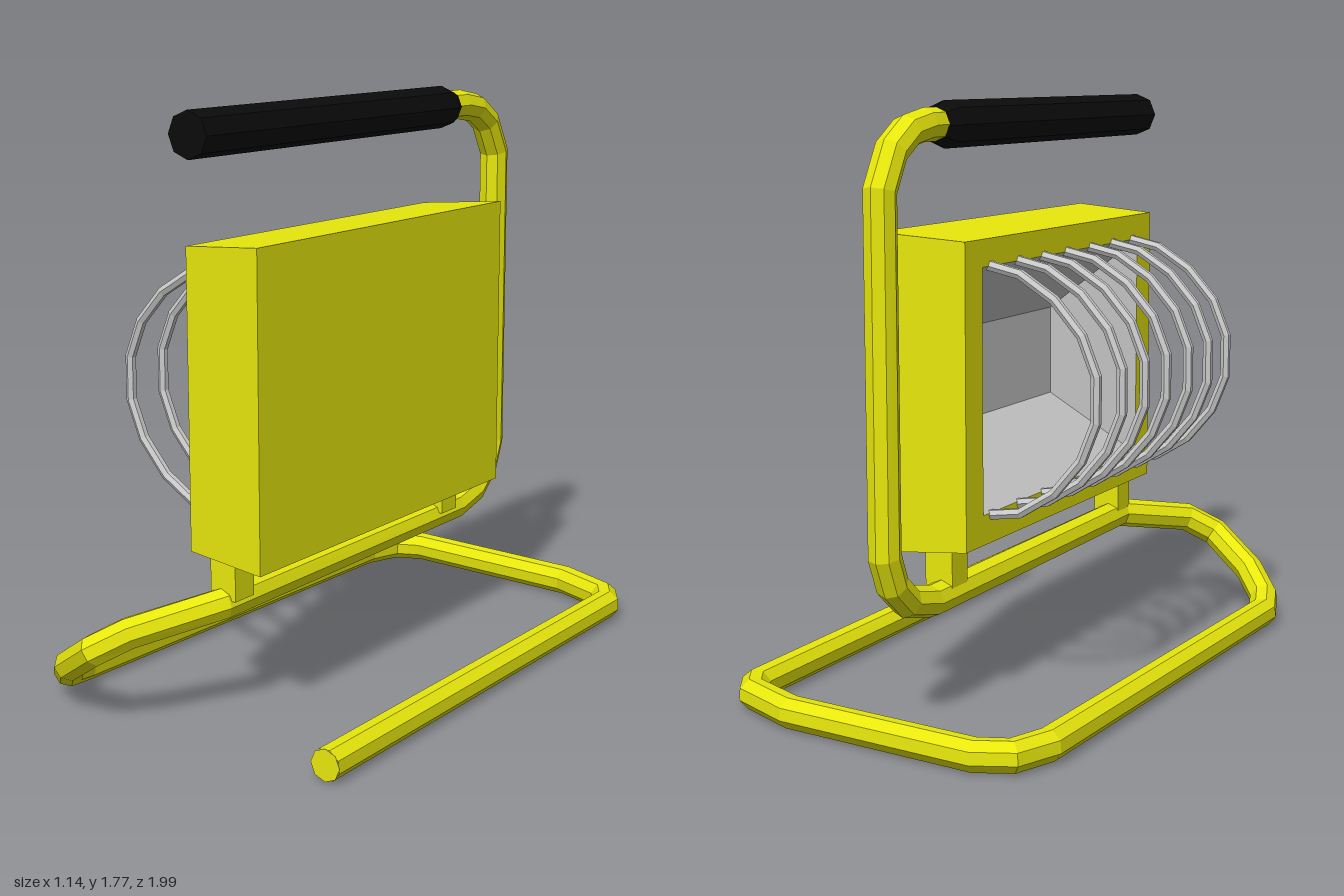
import * as THREE from 'three';

const paint = (color) => new THREE.MeshStandardMaterial({ color, flatShading: true });
const V = (p) => new THREE.Vector3(...p);

// Curve that places one ring exactly at each listed point, with mitred bends
class BentPath extends THREE.Curve {
  constructor(points) {
    super();
    this.points = points.map(V);
  }
  getPoint(t, target = new THREE.Vector3()) {
    const n = this.points.length - 1;
    const i = Math.min(Math.floor(t * n + 1e-6), n - 1);
    return target.lerpVectors(this.points[i], this.points[i + 1], t * n - i);
  }
  getPointAt(t, target) { return this.getPoint(t, target); }
  getTangentAt(t, target = new THREE.Vector3()) {
    const p = this.points, n = p.length - 1, i = Math.round(t * n);
    target.set(0, 0, 0);
    if (i > 0) target.add(p[i].clone().sub(p[i - 1]).normalize());
    if (i < n) target.add(p[i + 1].clone().sub(p[i]).normalize());
    return target.normalize();
  }
}

function bentTube(points, radius, sides) {
  return new THREE.TubeGeometry(new BentPath(points), points.length - 1, radius, sides);
}

// Skin through rectangles [x, y0, y1, z0, z1], optionally closed at either end
function rectLoft(rects, capStart, capEnd) {
  const pos = [];
  const rings = rects.map(([x, y0, y1, z0, z1]) =>
    [[x, y0, z0], [x, y1, z0], [x, y1, z1], [x, y0, z1]]);
  const quad = (a, b, c, d) => pos.push(...a, ...b, ...c, ...a, ...c, ...d);
  for (let r = 0; r < rings.length - 1; r++) {
    const a = rings[r], b = rings[r + 1];
    for (let k = 0; k < 4; k++) {
      const m = (k + 1) % 4;
      quad(a[k], b[k], b[m], a[m]);
    }
  }
  if (capStart) quad(...rings[0]);
  if (capEnd) quad(...rings[rings.length - 1].slice().reverse());
  const g = new THREE.BufferGeometry();
  g.setAttribute('position', new THREE.Float32BufferAttribute(pos, 3));
  g.computeVertexNormals();
  return g;
}

export function createModel() {
  const group = new THREE.Group();
  const yellow = paint(0xe8e80c), black = paint(0x0b0b0b), grey = paint(0xcccccc);
  const add = (name, geometry, material, at = [0, 0, 0]) => {
    const mesh = new THREE.Mesh(geometry, material);
    mesh.name = name;
    mesh.position.set(...at);
    group.add(mesh);
    return mesh;
  };

  // One continuous pipe: handle, upright, lamp rail, front bend, floor loop
  add('frame', bentTube([
    [0, 1.71, -0.5], [0, 1.71, -0.62], [0, 1.695, -0.71], [0, 1.645, -0.79], [0, 1.54, -0.85],
    [0, 0.53, -0.848], [0, 0.44, -0.81], [0, 0.375, -0.735], [0, 0.345, -0.61],
    [0, 0.345, 0.66], [-0.15, 0.295, 0.9], [-0.24, 0.24, 0.95], [-0.4, 0.14, 0.88],
    [-0.49, 0.075, 0.79], [-0.525, 0.052, 0.69],
    [-0.48, 0.052, -0.79], [-0.435, 0.052, -0.91], [-0.34, 0.052, -0.952],
    [0.29, 0.052, -0.898], [0.48, 0.052, -0.815], [0.523, 0.052, -0.745], [0.523, 0.052, 0.88],
  ], 0.048, 8), yellow);
  add('frameEndCap', new THREE.CircleGeometry(0.048, 8), yellow, [0.523, 0.052, 0.88]);

  // Grip with a tapered rear end
  const grip = new THREE.LatheGeometry(
    [[0, -0.56], [0.048, -0.56], [0.068, -0.51], [0.068, 0.78], [0, 0.78]]
      .map((p) => new THREE.Vector2(...p)), 8);
  grip.rotateX(Math.PI / 2);
  add('handleGrip', grip, black, [0, 1.708, 0]);

  // Lamp housing, flared toward its closed face, with a rim around the opening
  const opening = [-0.1, 0.58, 1.305, -0.47, 0.575];
  add('lampHousing', rectLoft([
    [0.175, 0.47, 1.405, -0.6, 0.705],
    [-0.1, 0.49, 1.385, -0.57, 0.675],
    opening,
  ], true, false), yellow);

  // Sloped reflector pan inside the opening
  add('reflector', rectLoft([opening, [0.12, 0.8, 1.085, -0.27, 0.375]], false, true), grey);

  // Mounting blocks between housing and rail
  for (const z of [-0.5, 0.62]) {
    add('mountingBlock', new THREE.BoxGeometry(0.09, 0.14, 0.088), yellow, [0.008, 0.43, z]);
  }

  // Guard wires bowed over the opening
  const wire = bentTube([
    [-0.09, 1.307], [-0.195, 1.285], [-0.305, 1.217], [-0.392, 1.12], [-0.438, 1.008],
    [-0.438, 0.875], [-0.392, 0.76], [-0.305, 0.657], [-0.195, 0.588], [-0.09, 0.572],
  ].map(([x, y]) => [x, y, 0]), 0.016, 6);
  for (const z of [-0.42, -0.25, -0.093, 0.063, 0.23, 0.387, 0.535]) {
    add('guardWire', wire, grey, [0, 0, z]);
  }
  return group;
}
